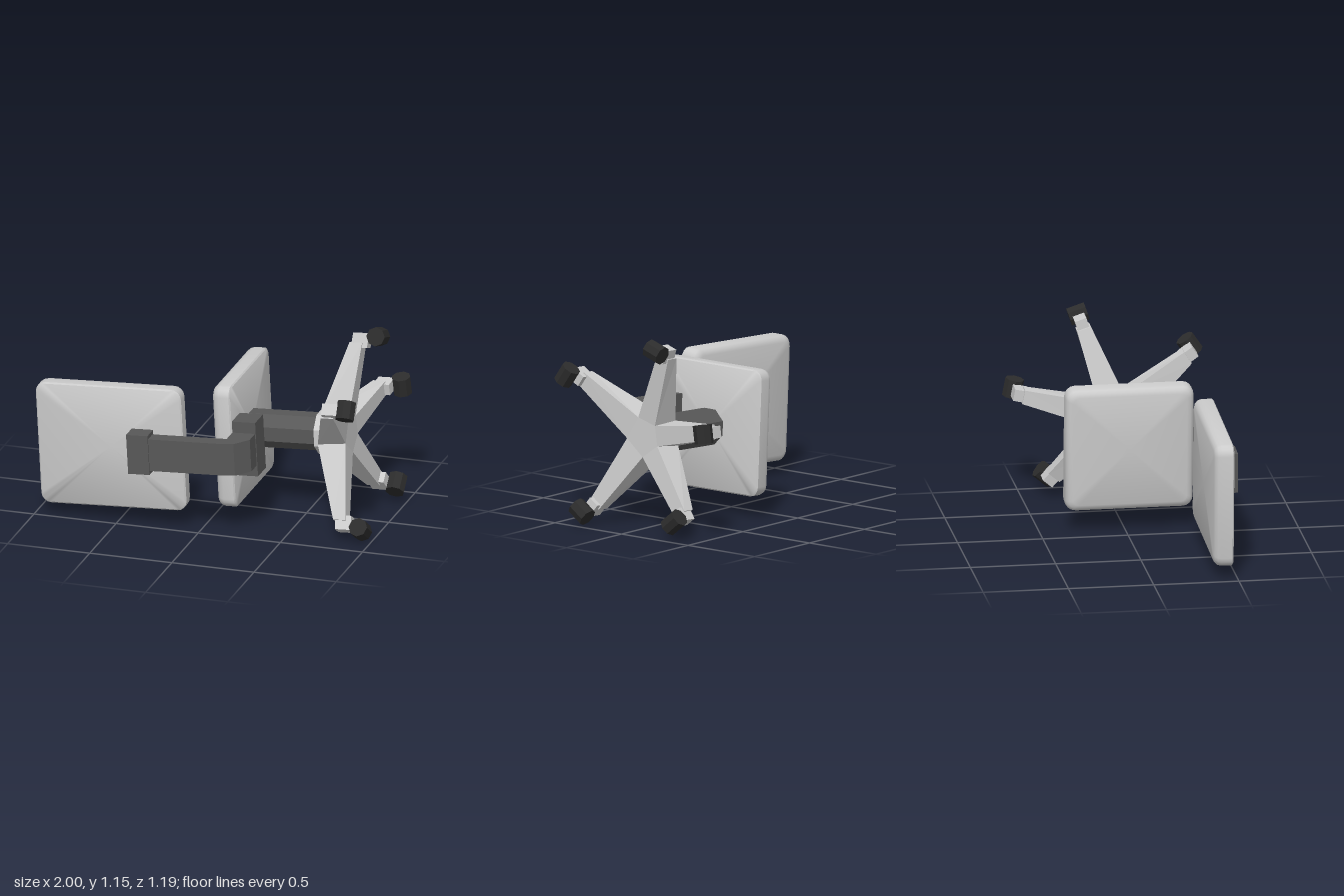
import * as THREE from 'three';
import { toCreasedNormals } from 'three/addons/utils/BufferGeometryUtils.js';

const light = new THREE.MeshStandardMaterial({ color: 0xcccccc });
const lightFlat = new THREE.MeshStandardMaterial({ color: 0xcccccc, flatShading: true });
const dark = new THREE.MeshStandardMaterial({ color: 0x585858, flatShading: true });
const black = new THREE.MeshStandardMaterial({ color: 0x2c2c2c, flatShading: true });

// Closed solid through matching rings (counter-clockwise about the loft direction)
function loft(rings) {
  const pos = [];
  const tri = (...p) => p.forEach((v) => pos.push(v.x, v.y, v.z));
  const n = rings[0].length;
  const centre = (r) => r.reduce((s, p) => s.add(p), new THREE.Vector3()).divideScalar(n);
  const first = rings[0], last = rings[rings.length - 1];
  const c0 = centre(first), c1 = centre(last);
  for (let i = 0; i < n; i++) {
    const j = (i + 1) % n;
    tri(c0, first[j], first[i]);
    tri(c1, last[i], last[j]);
    for (let k = 0; k < rings.length - 1; k++) {
      const a = rings[k], b = rings[k + 1];
      tri(a[i], a[j], b[j]);
      tri(a[i], b[j], b[i]);
    }
  }
  const g = new THREE.BufferGeometry();
  g.setAttribute('position', new THREE.Float32BufferAttribute(pos, 3));
  g.computeVertexNormals();
  return g;
}

// Rounded rectangle pad: crisp back at -z, soft edge at +z
function cushion(w, h) {
  const ring = (z, inset) => {
    const pts = [], r = 0.06 - inset * 0.6;
    for (let q = 0; q < 4; q++) {
      const sx = q === 0 || q === 3 ? 1 : -1, sy = q < 2 ? 1 : -1;
      for (let k = 0; k <= 4; k++) {
        const a = (q + k / 4) * Math.PI / 2;
        pts.push(new THREE.Vector3(
          sx * (w / 2 - inset - r) + r * Math.cos(a),
          sy * (h / 2 - inset - r) + r * Math.sin(a), z));
      }
    }
    return pts;
  };
  return toCreasedNormals(loft([
    ring(-0.0575, 0.008), ring(-0.05, 0), ring(0.012, 0), ring(0.034, 0.006),
    ring(0.05, 0.02), ring(0.0575, 0.042)]), 0.75);
}

export function createModel() {
  const model = new THREE.Group();
  model.name = 'officeChairLyingDown';
  // The chair's height runs along x, slightly tilted
  const chair = new THREE.Group();
  chair.name = 'chair';
  chair.position.y = 0.483;
  chair.rotation.z = 0.054;
  model.add(chair);

  const add = (name, geo, mat, x = 0, y = 0, z = 0) => {
    const m = new THREE.Mesh(geo, mat);
    m.name = name;
    m.position.set(x, y, z);
    chair.add(m);
    return m;
  };
  const axisZ = 0.022;

  // Cushions
  add('backrest', cushion(0.885, 0.745).rotateY(Math.PI), light, -0.541, 0, 0.4175);
  add('seat', cushion(0.75, 0.745).rotateY(-Math.PI / 2), light, 0.118, 0, axisZ);

  // Bent bar joining seat and backrest
  const bar = new THREE.Shape([
    [-0.28, 0.575], [0.18, 0.575], [0.24, 0.565], [0.313, 0.48],
    [0.313, 0.37], [0.175, 0.37], [0.175, 0.488], [-0.28, 0.488],
  ].map(([x, z]) => new THREE.Vector2(x, z)));
  const barGeo = new THREE.ExtrudeGeometry(bar, { depth: 0.195, bevelEnabled: false });
  add('backrestBar', barGeo.rotateX(Math.PI / 2), dark, 0, 0.0975, 0);
  add('backrestBracket', new THREE.BoxGeometry(0.13, 0.24, 0.11), dark, -0.342, 0, 0.528);
  add('seatBracket', new THREE.BoxGeometry(0.145, 0.33, 0.15), dark, 0.245, 0, 0.305);

  // Column and hub collar
  const tube = (r, len) =>
    new THREE.CylinderGeometry(r, r, len, 8, 1).rotateY(Math.PI / 8).rotateZ(Math.PI / 2);
  add('column', tube(0.111, 0.43), dark, 0.385, 0, axisZ);
  add('hubCollar', tube(0.13, 0.04), lightFlat, 0.61, 0, axisZ);

  // Star base: unevenly spread arms, with the valleys halfway between them
  const arms = [-50.2, 10.6, 71.2, 146, 235].map((d) => THREE.MathUtils.degToRad(d));
  const n = arms.length;
  const valleys = arms.map((a, i) =>
    (a + (i < n - 1 ? arms[i + 1] : arms[0] + 2 * Math.PI)) / 2);
  // Point at distance x along the column, r outward at angle a, t sideways
  const at = (x, a, r, t = 0) => new THREE.Vector3(x,
    r * Math.sin(a) + t * Math.cos(a), axisZ - r * Math.cos(a) + t * Math.sin(a));
  const section = (a, r, half, x0, x1) =>
    [at(x0, a, r, -half), at(x0, a, r, half), at(x1, a, r, half), at(x1, a, r, -half)];

  add('hub', loft([
    valleys.map((v) => at(0.62, v, 0.145)),
    valleys.map((v) => at(0.782, v, 0.118))]), lightFlat);

  arms.forEach((a, i) => {
    const prev = valleys[(i + n - 1) % n], next = valleys[i];
    const root = [at(0.62, prev, 0.145), at(0.62, next, 0.145),
      at(0.782, next, 0.118), at(0.782, prev, 0.118)];
    add('baseArm', loft([root, section(a, 0.53, 0.042, 0.755, 0.832)]), lightFlat);
    add('armTip', loft([section(a, 0.5, 0.035, 0.762, 0.86),
      section(a, 0.585, 0.035, 0.772, 0.87)]), lightFlat);

    // Caster wheel with its axle across the arm
    const p = at(0.915, a, 0.57);
    const wheel = add('casterWheel',
      new THREE.CylinderGeometry(0.056, 0.056, 0.108, 8), black, p.x, p.y, p.z);
    wheel.rotation.x = Math.atan2(Math.sin(a), Math.cos(a));
  });

  return model;
}
